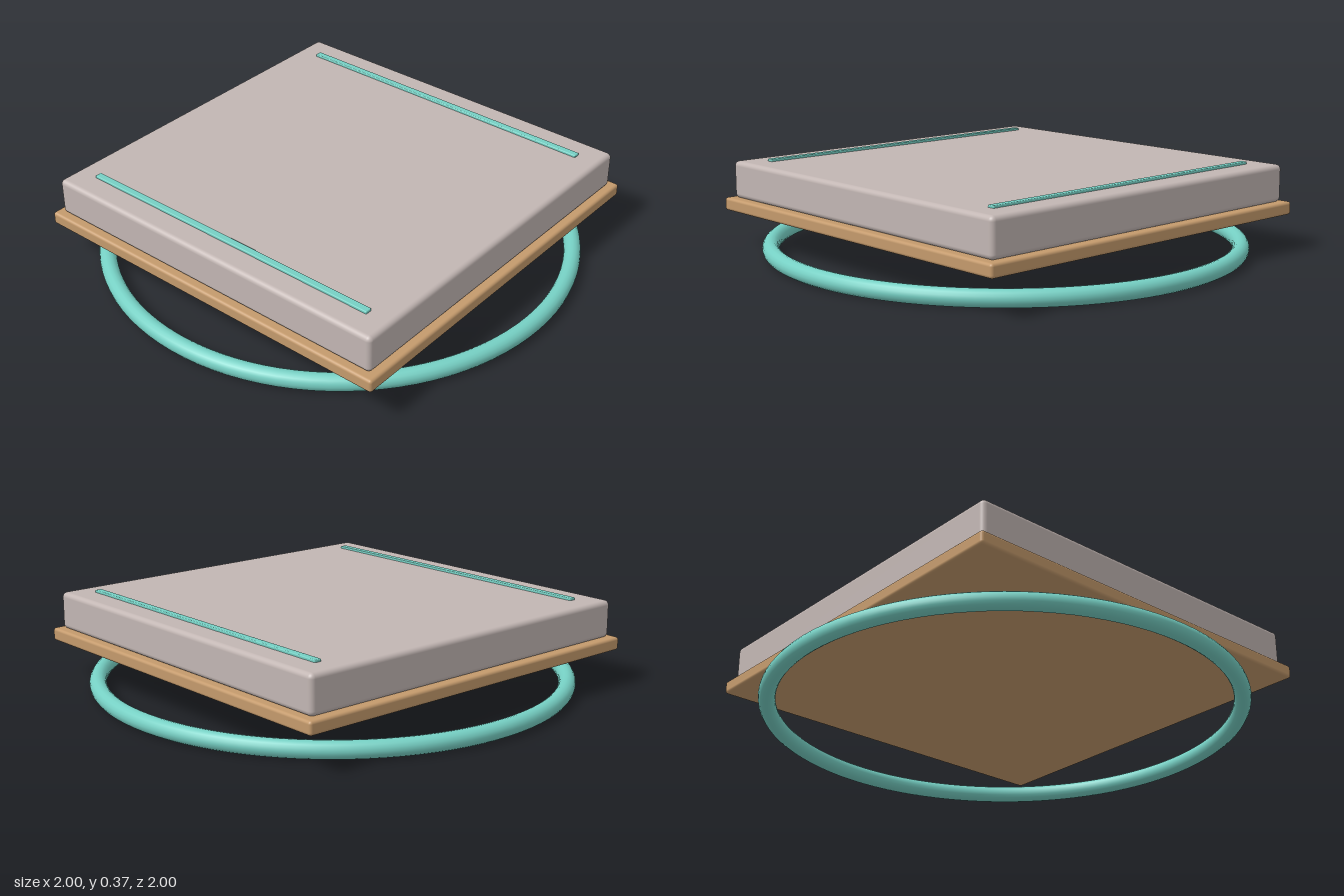
import * as THREE from 'three';
import { RoundedBoxGeometry } from 'three/addons/geometries/RoundedBoxGeometry.js';

export function createModel() {
  const model = new THREE.Group();
  const material = (name, color) => {
    const m = new THREE.MeshStandardMaterial({ color });
    m.name = name;
    return m;
  };
  const teal = material('teal', 0x76d0c4);
  const stone = material('warm grey', 0xc2b6b3);
  const wood = material('tan', 0xc49a6c);

  const add = (name, geometry, mat, x, y, z = 0) => {
    const mesh = new THREE.Mesh(geometry, mat);
    mesh.name = name;
    mesh.position.set(x, y, z);
    model.add(mesh);
    return mesh;
  };

  // Floating ring under the platform
  add('ring', new THREE.TorusGeometry(0.965, 0.035, 16, 96).rotateX(Math.PI / 2), teal, 0, 0.036);

  // Wider base board and the thick slab on it
  add('baseBoard', new RoundedBoxGeometry(1.66, 0.054, 1.66, 3, 0.012), wood, 0, 0.18);
  add('slab', new RoundedBoxGeometry(1.6, 0.155, 1.6, 4, 0.02), stone, 0, 0.2835);

  // Slim inlaid strips along both sides
  for (const side of [-1, 1]) {
    add(side > 0 ? 'leftStrip' : 'rightStrip',
      new RoundedBoxGeometry(0.03, 0.02, 1.4, 2, 0.004), teal, side * 0.682, 0.361);
  }
  return model;
}
